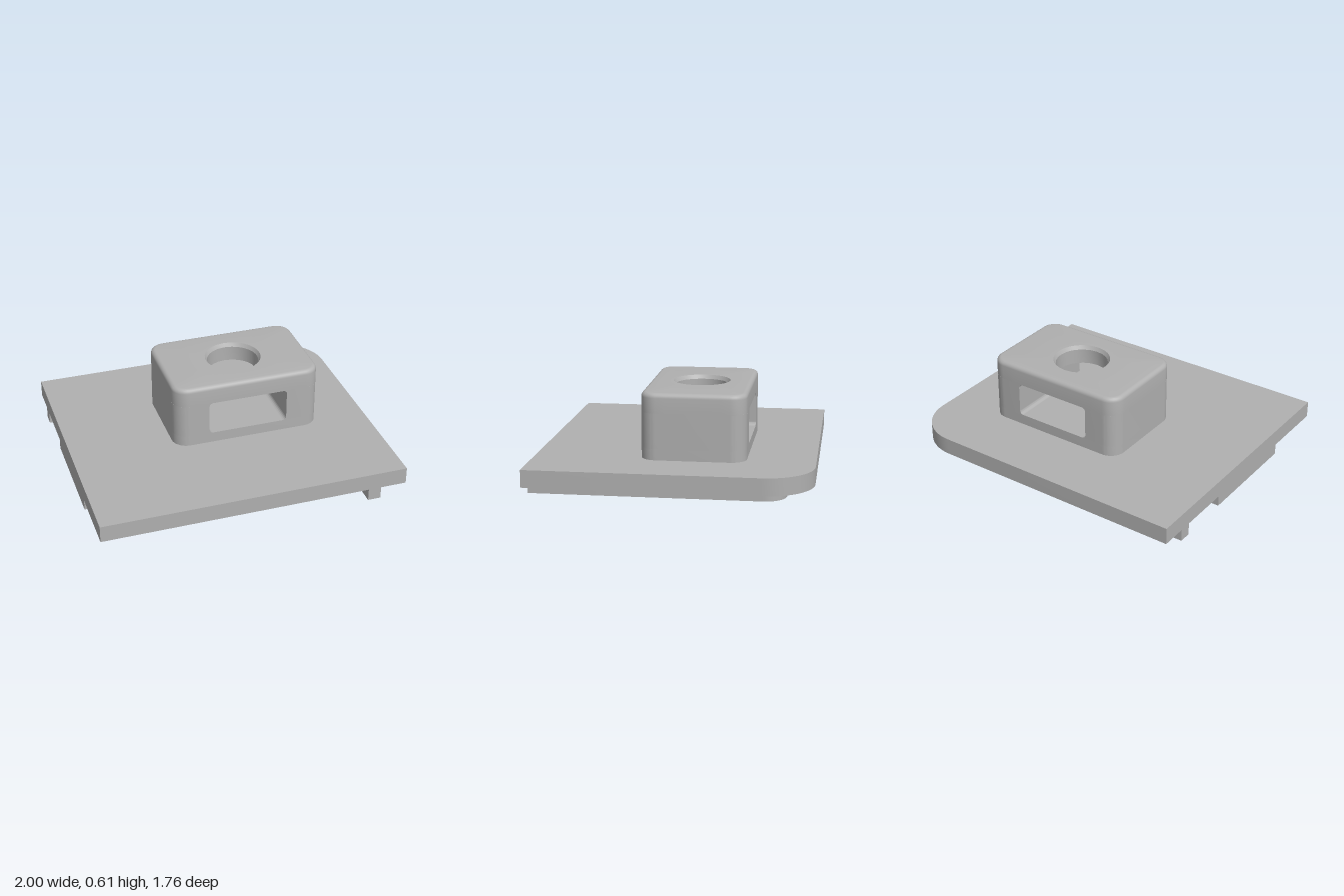
import * as THREE from 'three';
import { toCreasedNormals } from 'three/addons/utils/BufferGeometryUtils.js';

const grey = new THREE.MeshStandardMaterial({ color: 0xb0b0b0 });
grey.name = 'plain grey';

// Closed outline from [x, z, cornerRadius] points, square corners when no radius is given
function outline(points) {
  const shape = new THREE.Shape();
  const n = points.length;
  const v = points.map(([x, z]) => new THREE.Vector2(x, -z));
  points.forEach(([, , r = 0], i) => {
    const p = v[i];
    const toward = (q, d) => p.clone().add(q.clone().sub(p).setLength(d));
    const prev = v[(i + n - 1) % n], next = v[(i + 1) % n];
    const a = r ? toward(prev, r) : p, b = r ? toward(next, r) : p;
    if (i === 0) shape.moveTo(a.x, a.y); else shape.lineTo(a.x, a.y);
    if (r) {
      const c = toward(prev, r * 0.4477), d = toward(next, r * 0.4477);
      shape.bezierCurveTo(c.x, c.y, d.x, d.y, b.x, b.y);
    }
  });
  shape.closePath();
  return shape;
}

function mesh(name, geometry) {
  const m = new THREE.Mesh(toCreasedNormals(geometry, 0.5), grey);
  m.name = name;
  return m;
}

// Flat part with the given footprint between two heights
function slab(name, points, y0, y1) {
  const g = new THREE.ExtrudeGeometry(outline(points), { depth: y1 - y0, bevelEnabled: false, curveSegments: 16 });
  g.rotateX(-Math.PI / 2);
  g.translate(0, y0, 0);
  return mesh(name, g);
}

// Housing size and centre
const CX = 0.165, CZ = -0.12, HX = 0.495, HZ = 0.33, R = 0.1;
const X0 = CX - HX, X1 = CX + HX, Z0 = CZ - HZ, Z1 = CZ + HZ;
const SLOT = { x0: -0.1, x1: 0.43, y0: 0.26, y1: 0.485 };
const TOP = 0.61, PLATE = 0.19;

// Rounded rectangle ring, 64 points around the housing centre
function boxRing(inset, y) {
  const hx = HX - inset, hz = HZ - inset, r = R - inset;
  const sx = [1, -1, -1, 1], sz = [1, 1, -1, -1];
  const corner = (k, t) => {
    const a = (k + t) * Math.PI / 2;
    return new THREE.Vector3(sx[k] * (hx - r) + r * Math.cos(a), y, sz[k] * (hz - r) + r * Math.sin(a));
  };
  const pts = [];
  for (let k = 0; k < 4; k++) {
    for (let i = 0; i <= 8; i++) pts.push(corner(k, i / 8));
    for (let i = 1; i < 8; i++) pts.push(corner(k, 1).lerp(corner((k + 1) % 4, 0), i / 8));
  }
  return pts;
}

// Circle ring with points facing those of the rounded rectangle
function holeRing(radius, y) {
  return boxRing(0, 0).map((p) => p.setLength(radius).setY(y));
}

// Housing top: outer wall, rounded edge, flat top, chamfered round hole and slot ceiling
function housingTop() {
  const rings = [boxRing(0, SLOT.y1)];
  for (let i = 0; i <= 6; i++) {
    const t = (i / 6) * Math.PI / 2;
    rings.push(boxRing(0.03 * (1 - Math.cos(t)), TOP - 0.03 + 0.03 * Math.sin(t)));
  }
  rings.push(holeRing(0.185, TOP), holeRing(0.17, TOP - 0.025), holeRing(0.17, SLOT.y1), boxRing(0, SLOT.y1));
  const pos = [];
  for (let j = 0; j < rings.length - 1; j++) {
    const lo = rings[j], hi = rings[j + 1];
    for (let i = 0; i < lo.length; i++) {
      const k = (i + 1) % lo.length;
      for (const p of [lo[i], hi[i], hi[k], lo[i], hi[k], lo[k]]) pos.push(p.x + CX, p.y, p.z + CZ);
    }
  }
  const g = new THREE.BufferGeometry();
  g.setAttribute('position', new THREE.Float32BufferAttribute(pos, 3));
  return mesh('housingTop', g);
}

// Small concave fillet running along one corner of the slot
function slotFillet(x, y, turn) {
  const r = 0.025;
  const s = new THREE.Shape();
  s.moveTo(0, 0);
  s.lineTo(r, 0);
  s.absarc(r, r, r, -Math.PI / 2, -Math.PI, true);
  s.closePath();
  const g = new THREE.ExtrudeGeometry(s, { depth: Z1 - Z0, bevelEnabled: false, curveSegments: 6 });
  g.rotateZ(turn * Math.PI / 2);
  g.translate(x, y, Z0);
  return mesh('slotFillet', g);
}

export function createModel() {
  const model = new THREE.Group();
  model.name = 'coverPlate';

  // Base plate with one rounded corner
  model.add(slab('basePlate', [[-1, 0.88], [1, 0.88], [1, -0.88, 0.31], [-1, -0.88]], 0.08, PLATE));

  // Underside rim following two edges
  model.add(slab('rim', [
    [0.745, 0.88], [0.83, 0.88], [0.83, -0.71, 0.14], [-1, -0.71], [-1, -0.63], [0.745, -0.63, 0.06],
  ], 0, 0.08));

  // Underside pad with an arm and hook reaching the side edge
  model.add(slab('pad', [
    [-0.5, 0.3, 0.1], [0.75, 0.3], [0.75, -0.49], [-0.5, -0.49], [-0.5, -0.285], [-1, -0.285],
    [-1, 0.44], [-0.78, 0.44], [-0.78, 0.05], [-0.5, 0.05],
  ], 0.01, 0.08));

  // Housing around the slot
  const housing = new THREE.Group();
  housing.name = 'housing';
  housing.add(
    slab('housingFloor', [[X0, Z1, R], [X1, Z1, R], [X1, Z0, R], [X0, Z0, R]], PLATE, SLOT.y0),
    slab('rightWall', [[X0, Z1, R], [SLOT.x0, Z1], [SLOT.x0, Z0], [X0, Z0, R]], SLOT.y0, SLOT.y1),
    slab('leftWall', [[SLOT.x1, Z1], [X1, Z1, R], [X1, Z0, R], [SLOT.x1, Z0]], SLOT.y0, SLOT.y1),
    housingTop(),
    slotFillet(SLOT.x0, SLOT.y0, 0),
    slotFillet(SLOT.x1, SLOT.y0, 1),
    slotFillet(SLOT.x1, SLOT.y1, 2),
    slotFillet(SLOT.x0, SLOT.y1, 3),
  );
  model.add(housing);
  return model;
}
